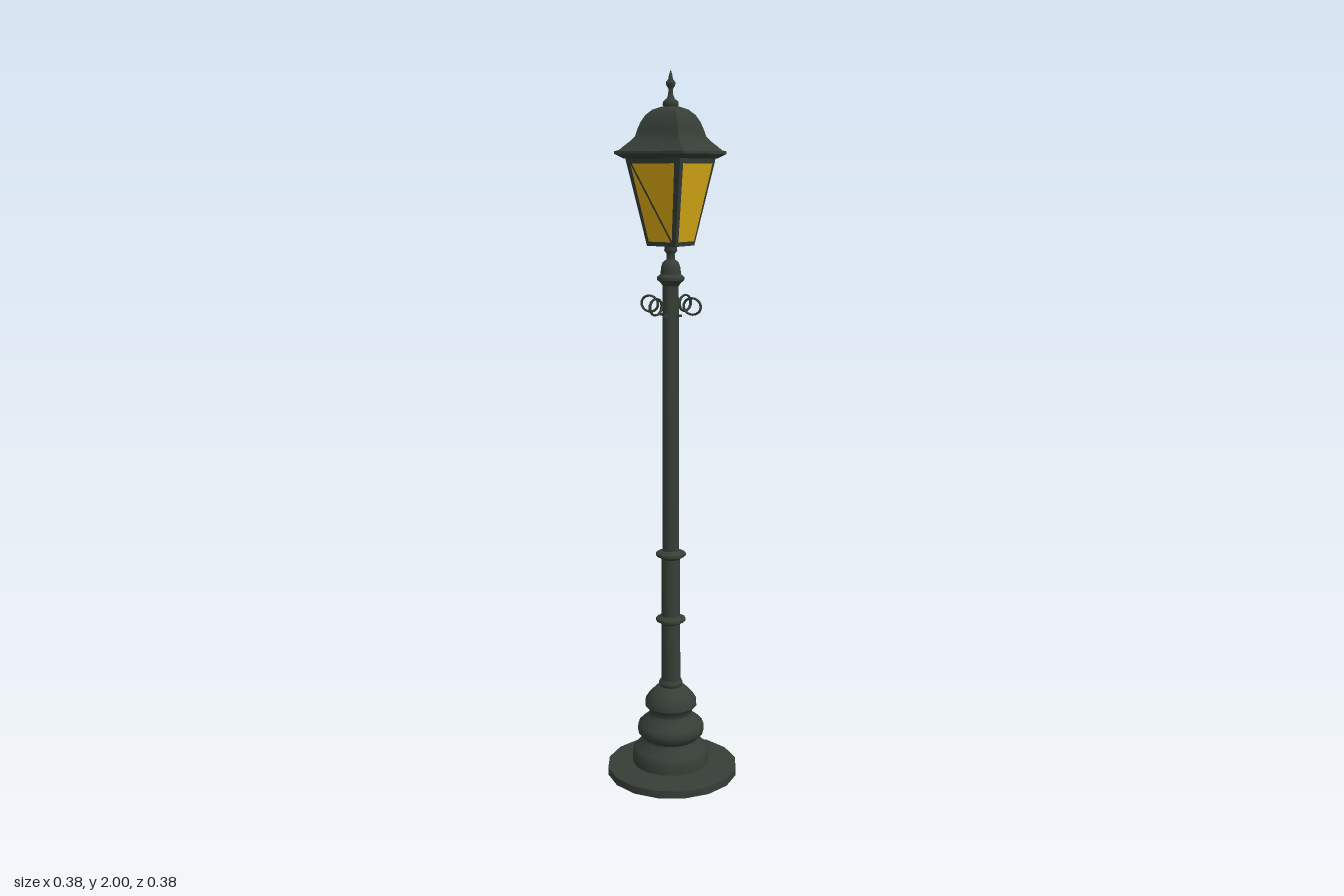
import * as THREE from 'three';
import { toCreasedNormals } from 'three/addons/utils/BufferGeometryUtils.js';

const iron = new THREE.MeshStandardMaterial({ color: 0x363e36 });
iron.name = 'dark green iron';
const amber = new THREE.MeshStandardMaterial({ color: 0xd9a914, side: THREE.DoubleSide });
amber.name = 'amber glass';

function add(parent, name, geometry, material = iron) {
  const mesh = new THREE.Mesh(geometry, material);
  mesh.name = name;
  parent.add(mesh);
  return mesh;
}

// Turned part from [radius, height] pairs, bottom to top
function turned(profile, sides, crease = 0.75) {
  const points = profile.map(([r, y]) => new THREE.Vector2(r, y));
  return toCreasedNormals(new THREE.LatheGeometry(points, sides), crease);
}

// Four-sided part from [half width, height] pairs
function square(profile, depth) {
  const g = turned(profile.map(([w, y]) => [w * Math.SQRT2, y]), 4, 0.8);
  return g.rotateY(Math.PI / 4).scale(1, 1, depth);
}

// Flat pane from a convex outline in x, y
function pane(corners) {
  return new THREE.ShapeGeometry(new THREE.Shape(corners.map(([x, y]) => new THREE.Vector2(x, y))));
}

export function createModel() {
  const lamp = new THREE.Group();
  lamp.name = 'streetLamp';

  add(lamp, 'groundPlate', turned([[0, 0], [0.19, 0], [0.19, 0.022], [0.11, 0.03], [0, 0.03]], 16));

  const post = new THREE.Group();
  post.name = 'post';
  post.position.set(-0.006, 0, -0.002);
  lamp.add(post);

  // Stacked bulges of the pedestal
  add(post, 'pedestal', turned([
    [0.112, 0.025], [0.113, 0.06], [0.105, 0.076], [0.082, 0.092], [0.078, 0.103],
    [0.094, 0.118], [0.098, 0.135], [0.093, 0.15], [0.07, 0.168], [0.062, 0.18],
    [0.064, 0.193], [0.076, 0.205], [0.075, 0.22], [0.062, 0.24], [0.045, 0.257],
    [0.032, 0.263], [0.035, 0.272], [0.03, 0.282], [0, 0.282],
  ], 16));

  add(post, 'lowerShaft', turned([[0.028, 0.27], [0.026, 0.66]], 12));
  add(post, 'upperShaft', turned([[0.024, 0.65], [0.022, 1.44]], 12));
  for (const y of [0.465, 0.66]) {
    add(post, 'shaftRing', turned([
      [0.025, y - 0.014], [0.034, y - 0.008], [0.043, y - 0.003],
      [0.043, y + 0.004], [0.034, y + 0.009], [0.022, y + 0.013],
    ], 12));
  }
  add(post, 'capital', turned([
    [0.022, 1.425], [0.028, 1.434], [0.038, 1.442], [0.038, 1.45], [0.028, 1.458],
    [0.027, 1.475], [0.022, 1.49], [0.012, 1.498], [0.011, 1.512], [0.018, 1.522],
    [0.016, 1.54],
  ], 12));

  // Four wire loops around the shaft
  for (let i = 0; i < 4; i++) {
    const arm = new THREE.Group();
    arm.name = 'scrollArm';
    arm.rotation.y = i * Math.PI / 2;
    post.add(arm);
    const loop = add(arm, 'scrollLoop', new THREE.TorusGeometry(0.028, 0.004, 6, 20));
    loop.scale.y = 0.8;
    loop.position.set(0.071, 1.373, 0);
    add(arm, 'scrollStub', new THREE.BoxGeometry(0.016, 0.006, 0.008)).position.set(0.027, 1.345, 0);
  }

  // Tapered lantern housing
  const lantern = new THREE.Group();
  lantern.name = 'lantern';
  post.add(lantern);
  const low = 1.535, high = 1.775, wLow = 0.047, wHigh = 0.09;
  add(lantern, 'lanternFrame', square([[0, low], [wLow, low], [wHigh, high], [0, high]], 0.97));

  // Panes lean with the walls; the back one fills only one half
  const tilt = Math.atan2(wHigh - wLow, high - low);
  const slant = (y) => (y - low) / Math.cos(tilt);
  const a = slant(1.547), b = slant(1.755);
  const bl = [-0.038, a], br = [0.038, a], tr = [0.071, b], tl = [-0.071, b];
  const gap = 0.004;
  const upperHalf = [[tl[0] + gap, b], [br[0], a + gap], tr];
  const lowerHalf = [[tl[0], b - gap], bl, [br[0] - gap, a]];
  const sides = [[upperHalf, lowerHalf], [[bl, br, tr, tl]], [upperHalf], [[bl, br, tr, tl]]];
  sides.forEach((panes, i) => {
    const wall = new THREE.Group();
    wall.name = 'glassSide';
    wall.rotation.y = i * Math.PI / 2;
    lantern.add(wall);
    for (const corners of panes) {
      const glass = add(wall, 'glassPane', pane(corners), amber);
      glass.rotation.x = tilt;
      glass.position.set(0, low, wLow * (i % 2 ? 1 : 0.97) + 0.002);
    }
  });

  // Bell-shaped square roof
  add(lantern, 'roof', square([
    [0, 1.768], [0.094, 1.768], [0.112, 1.78], [0.112, 1.787], [0.103, 1.79],
    [0.093, 1.801], [0.08, 1.814], [0.071, 1.826], [0.066, 1.845], [0.06, 1.863],
    [0.05, 1.882], [0.036, 1.896], [0.018, 1.904], [0, 1.905],
  ], 0.93));

  add(lantern, 'finial', turned([
    [0.016, 1.898], [0.022, 1.908], [0.021, 1.917], [0.011, 1.925], [0.007, 1.935],
    [0.006, 1.95], [0.012, 1.959], [0.013, 1.967], [0.006, 1.976], [0.005, 1.985], [0, 2],
  ], 8, 0.9));

  return lamp;
}
